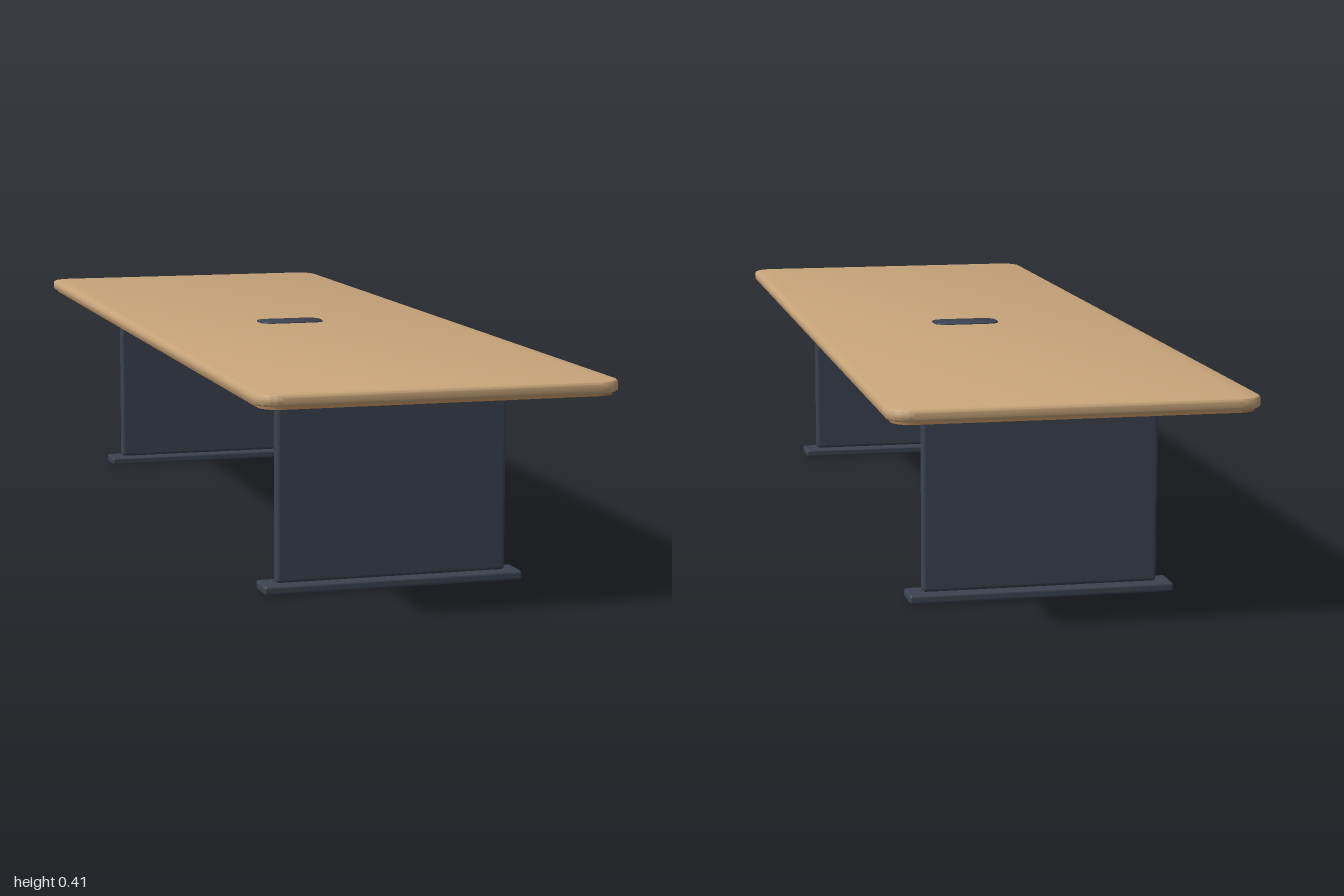
import * as THREE from 'three';
import { toCreasedNormals } from 'three/addons/utils/BufferGeometryUtils.js';
import { RoundedBoxGeometry } from 'three/addons/geometries/RoundedBoxGeometry.js';

const material = (name, color) => {
  const m = new THREE.MeshStandardMaterial({ color });
  m.name = name;
  return m;
};

// Horizontal board with rounded plan corners and softened edges, from y0 to y1
function board(width, depth, y0, y1, radius, bevel) {
  const x = width / 2 - bevel, z = depth / 2 - bevel, r = radius - bevel;
  const s = new THREE.Shape();
  s.moveTo(-x + r, -z);
  s.lineTo(x - r, -z);
  s.absarc(x - r, -z + r, r, -Math.PI / 2, 0);
  s.lineTo(x, z - r);
  s.absarc(x - r, z - r, r, 0, Math.PI / 2);
  s.lineTo(-x + r, z);
  s.absarc(-x + r, z - r, r, Math.PI / 2, Math.PI);
  s.lineTo(-x, -z + r);
  s.absarc(-x + r, -z + r, r, Math.PI, Math.PI * 1.5);
  const g = new THREE.ExtrudeGeometry(s, {
    depth: y1 - y0 - 2 * bevel, curveSegments: 8,
    bevelEnabled: bevel > 0, bevelThickness: bevel, bevelSize: bevel, bevelSegments: 4,
  });
  g.rotateX(-Math.PI / 2);
  g.translate(0, y0 + bevel, 0);
  return toCreasedNormals(g, 0.6);
}

export function createModel() {
  const wood = material('light wood', 0xc8a57a);
  const underWood = material('darker wood', 0xa67c50);
  const metal = material('charcoal metal', 0x3c4250);

  const table = new THREE.Group();
  table.name = 'conferenceTable';

  const add = (parent, name, geometry, mat, x = 0, y = 0, z = 0) => {
    const mesh = new THREE.Mesh(geometry, mat);
    mesh.name = name;
    mesh.position.set(x, y, z);
    parent.add(mesh);
  };

  // Tabletop, the recessed board below it and the cable cover
  add(table, 'tabletop', board(0.666, 2, 0.39, 0.412, 0.045, 0.007), wood);
  add(table, 'underside', board(0.646, 1.98, 0.385, 0.3905, 0.035, 0), underWood);
  add(table, 'cableCover', board(0.136, 0.07, 0.409, 0.4145, 0.025, 0.001), metal);

  // Beam joining the two legs
  add(table, 'beam', new RoundedBoxGeometry(0.045, 0.027, 1.39, 2, 0.003), metal, 0, 0.3695, 0);

  // Panel legs with foot bars and mounting plates
  for (const side of [1, -1]) {
    const leg = new THREE.Group();
    leg.name = side > 0 ? 'frontLeg' : 'backLeg';
    leg.position.z = side * 0.695;
    add(leg, 'panel', new RoundedBoxGeometry(0.444, 0.367, 0.026, 3, 0.007), metal, 0, 0.2005, 0);
    add(leg, 'foot', new RoundedBoxGeometry(0.5, 0.017, 0.064, 3, 0.005), metal, 0, 0.0085, 0);
    add(leg, 'mountingPlate', new RoundedBoxGeometry(0.39, 0.009, 0.052, 2, 0.003), metal, 0, 0.381, 0);
    table.add(leg);
  }
  return table;
}
